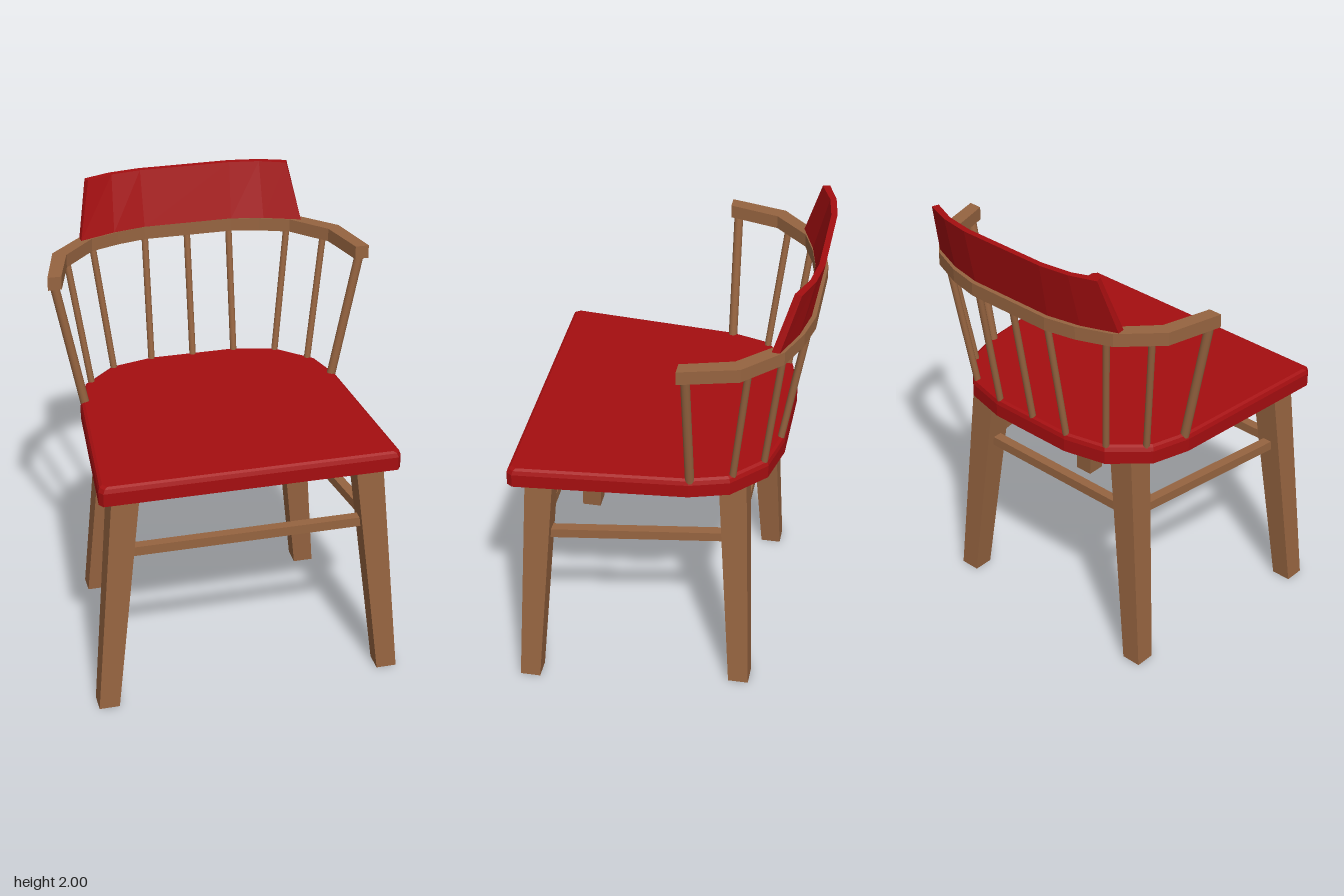
import * as THREE from 'three';

const wood = new THREE.MeshStandardMaterial({ color: 0x966440 });
const red = new THREE.MeshStandardMaterial({ color: 0xa50e10 });

// Flat-shaded solid through equal-length rings of [x, y, z], with both ends closed
function loft(rings) {
  const tris = [];
  const n = rings[0].length;
  for (let i = 0; i < rings.length - 1; i++) {
    for (let j = 0; j < n; j++) {
      const k = (j + 1) % n;
      const a = rings[i][j], b = rings[i][k], c = rings[i + 1][k], d = rings[i + 1][j];
      tris.push([a, b, c], [a, c, d]);
    }
  }
  const first = rings[0], last = rings[rings.length - 1];
  for (let j = 1; j < n - 1; j++) {
    tris.push([first[0], first[j + 1], first[j]], [last[0], last[j], last[j + 1]]);
  }
  // Turn the faces outward if the enclosed volume comes out negative
  const v = (p) => new THREE.Vector3(...p);
  const volume = tris.reduce((s, [a, b, c]) => s + v(a).dot(v(b).cross(v(c))), 0);
  if (volume < 0) tris.forEach((t) => t.reverse());
  const geo = new THREE.BufferGeometry();
  geo.setAttribute('position', new THREE.Float32BufferAttribute(tris.flat(2), 3));
  geo.computeVertexNormals();
  return geo;
}

// Mirror a half path of points (first coordinate is x), running from +x to -x
const mirrored = (half) => [...half, ...half.slice().reverse().map(([x, ...rest]) => [-x, ...rest])];

const square = (x, y, z, w) => {
  const h = w / 2;
  return [[x - h, y, z - h], [x + h, y, z - h], [x + h, y, z + h], [x - h, y, z + h]];
};

export function createModel() {
  const model = new THREE.Group();
  const add = (name, geo, mat, parent = model) => {
    const mesh = new THREE.Mesh(geo, mat);
    mesh.name = name;
    parent.add(mesh);
    return mesh;
  };

  // Seat: square front, rounded back, softened upper edge
  const outline = mirrored([
    [0.635, 0.63], [0.652, 0.605], [0.59, -0.14], [0.54, -0.31], [0.39, -0.45], [0.2, -0.495],
  ]);
  const layers = [[1.04, 1], [1.1, 1], [1.118, 0.99], [1.125, 0.97]];
  add('seat', loft(layers.map(([y, s]) =>
    outline.map(([x, z]) => [x * s, y, (z - 0.067) * s + 0.067]))), red);

  // Tapered, splayed legs
  const legs = new THREE.Group();
  legs.name = 'legs';
  model.add(legs);
  for (const side of [1, -1]) {
    const label = side > 0 ? 'Left' : 'Right';
    add('front' + label + 'Leg', loft([
      square(side * 0.635, 0, 0.565, 0.09), square(side * 0.53, 1.045, 0.505, 0.12)]), wood, legs);
    add('back' + label + 'Leg', loft([
      square(side * 0.512, 0, -0.365, 0.09), square(side * 0.408, 1.045, -0.31, 0.12)]), wood, legs);
  }

  // Stretchers joining the legs
  const stretcherY = 0.747, t = 0.043;
  const front = [0.56, 0.522], back = [0.438, -0.326];
  const stretcher = (name, [x0, z0], [x1, z1]) => {
    const geo = new THREE.BoxGeometry(t, t, Math.hypot(x1 - x0, z1 - z0));
    const mesh = add(name, geo, wood);
    mesh.position.set((x0 + x1) / 2, stretcherY, (z0 + z1) / 2);
    mesh.rotation.y = Math.atan2(x1 - x0, z1 - z0);
  };
  stretcher('frontStretcher', front, [-front[0], front[1]]);
  stretcher('backStretcher', back, [-back[0], back[1]]);
  for (const s of [1, -1]) {
    stretcher('sideStretcher', [s * front[0], front[1]], [s * back[0], back[1]]);
  }

  // Arm rail: rows of outer x, outer z, inner x, inner z
  const railHalf = [
    [[0.715, -0.112], [0.655, -0.112]],
    [[0.652, -0.36], [0.595, -0.33]],
    [[0.495, -0.515], [0.455, -0.475]],
    [[0.345, -0.575], [0.325, -0.522]],
    [[0.205, -0.605], [0.2, -0.55]],
  ];
  const flip = (half) => [...half, ...half.slice().reverse().map((row) => row.map(([x, ...r]) => [-x, ...r]))];
  add('armRail', loft(flip(railHalf).map(([[ox, oz], [ix, iz]]) => [
    [ox, 1.69, oz], [ox, 1.75, oz], [ix, 1.75, iz], [ix, 1.69, iz]])), wood);

  // Curved backrest leaning backward: inner and outer corners, bottom then top
  const panelHalf = [
    [[0.505, 1.748, -0.462], [0.508, 1.748, -0.495], [0.462, 2, -0.57], [0.452, 2, -0.54]],
    [[0.345, 1.748, -0.52], [0.355, 1.748, -0.555], [0.345, 2, -0.612], [0.338, 2, -0.586]],
    [[0.2, 1.748, -0.55], [0.205, 1.748, -0.585], [0.21, 2, -0.632], [0.205, 2, -0.606]],
  ];
  add('backrest', loft(flip(panelHalf)), red);

  // Spindles from seat to rail: bottom x, bottom z, top x, top z, radius
  const spindles = new THREE.Group();
  spindles.name = 'spindles';
  model.add(spindles);
  const spindle = (bx, bz, tx, tz, r) => {
    const a = new THREE.Vector3(bx, 1.11, bz), b = new THREE.Vector3(tx, 1.71, tz);
    const dir = b.clone().sub(a);
    const mesh = add('spindle', new THREE.CylinderGeometry(r, r, dir.length(), 12), wood, spindles);
    mesh.position.copy(a).add(b).multiplyScalar(0.5);
    mesh.quaternion.setFromUnitVectors(new THREE.Vector3(0, 1, 0), dir.normalize());
  };
  spindle(0, -0.475, 0, -0.58, 0.015);
  for (const s of [1, -1]) {
    spindle(s * 0.195, -0.475, s * 0.195, -0.58, 0.015);
    spindle(s * 0.38, -0.43, s * 0.45, -0.505, 0.015);
    spindle(s * 0.505, -0.315, s * 0.588, -0.385, 0.015);
    spindle(s * 0.568, -0.143, s * 0.685, -0.143, 0.02);
  }

  return model;
}
